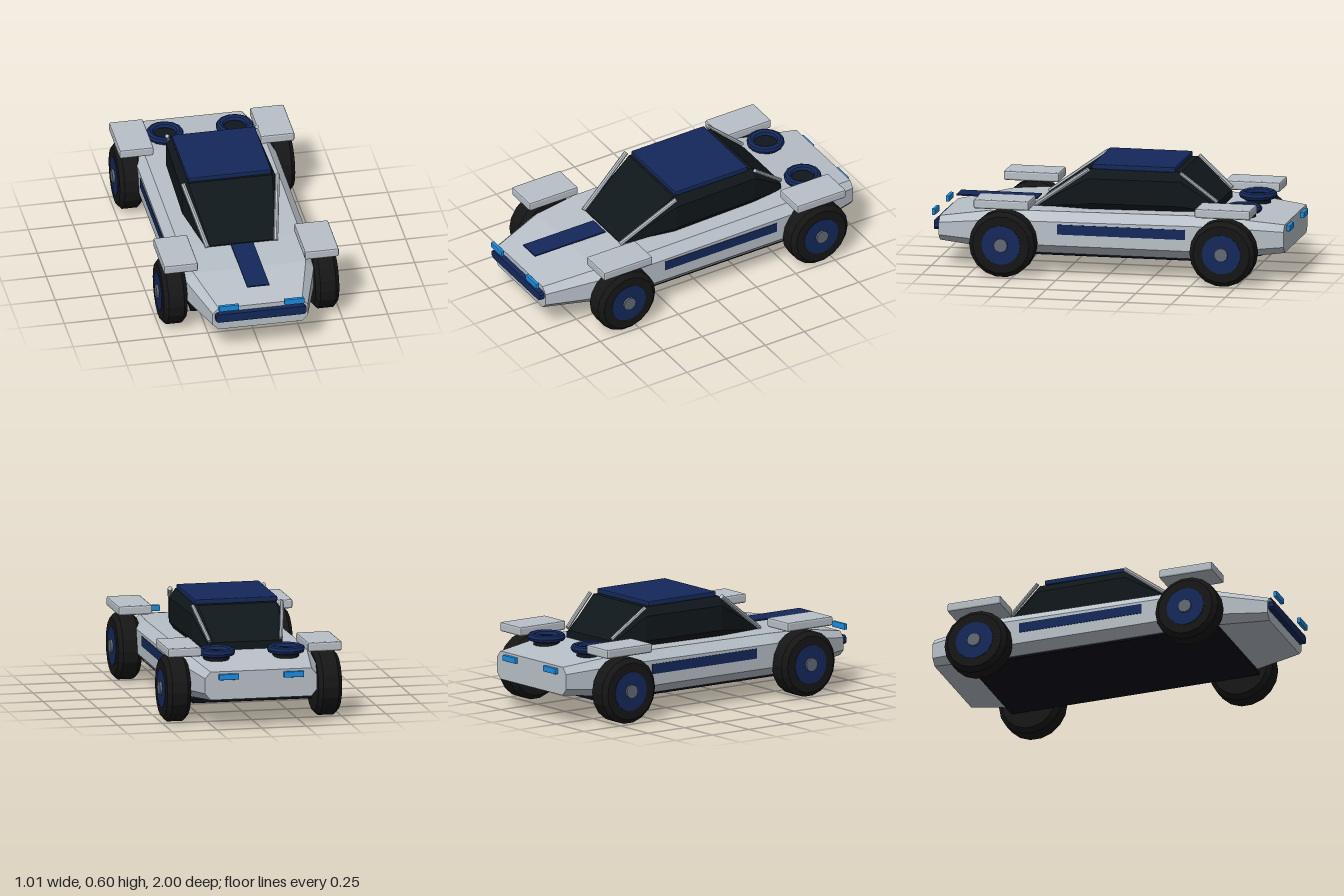
import * as THREE from 'three';
import { RoundedBoxGeometry } from 'three/addons/geometries/RoundedBoxGeometry.js';

const mat = (color) => new THREE.MeshStandardMaterial({ color, flatShading: true });

// Eight-sided cross-section: half width, bottom, top, corner cuts
function section([z, w, y0, y1, cx, cy]) {
  const half = [[w - cx, y0], [w, y0 + cy], [w, y1 - cy], [w - cx, y1]];
  const other = half.map(([x, y]) => [-x, y]).reverse();
  return [...half, ...other].map(([x, y]) => [x, y, z]);
}

// Closed hull through sections listed from front to back
function loft(stations) {
  const rings = stations.map(section);
  const n = rings[0].length;
  const pos = [];
  const tri = (a, b, c) => pos.push(...a, ...b, ...c);
  for (let k = 0; k < rings.length - 1; k++) {
    const f = rings[k], r = rings[k + 1];
    for (let i = 0; i < n; i++) {
      const j = (i + 1) % n;
      tri(f[i], r[i], r[j]);
      tri(f[i], r[j], f[j]);
    }
  }
  const first = rings[0], last = rings[rings.length - 1];
  for (let i = 1; i < n - 1; i++) {
    tri(first[0], first[i], first[i + 1]);
    tri(last[0], last[i + 1], last[i]);
  }
  const g = new THREE.BufferGeometry();
  g.setAttribute('position', new THREE.Float32BufferAttribute(pos, 3));
  g.computeVertexNormals();
  return g;
}

export function createModel() {
  const car = new THREE.Group();
  car.name = 'buggy';
  const grey = mat(0xb8c0c8), blue = mat(0x14285a), glass = mat(0x10171b);
  const rubber = mat(0x161616), lamp = mat(0x1a8ee0), under = mat(0x0c0c1a), metal = mat(0x626a74);

  const add = (name, geo, material, x = 0, y = 0, z = 0, parent = car) => {
    const m = new THREE.Mesh(geo, material);
    m.name = name;
    m.position.set(x, y, z);
    parent.add(m);
    return m;
  };
  // Bevelled block
  const block = (name, material, w, h, d, x, y, z, bevel = 0.007) =>
    add(name, new RoundedBoxGeometry(w, h, d, 1, bevel), material, x, y, z);
  // Thin bar between two points
  const bar = (name, a, b, r) => {
    const p = new THREE.Vector3(...a), q = new THREE.Vector3(...b);
    const dir = q.clone().sub(p);
    const m = add(name, new THREE.CylinderGeometry(r, r, dir.length(), 8), grey);
    m.position.copy(p).add(q).multiplyScalar(0.5);
    m.quaternion.setFromUnitVectors(new THREE.Vector3(0, 1, 0), dir.normalize());
  };

  // Body hull and floor
  add('body', loft([
    [0.955, 0.265, 0.15, 0.285, 0.033, 0.033],
    [0.66, 0.357, 0.135, 0.342, 0.045, 0.046],
    [0.4, 0.387, 0.126, 0.357, 0.048, 0.05],
    [-0.6, 0.387, 0.126, 0.367, 0.048, 0.05],
    [-0.98, 0.312, 0.17, 0.326, 0.03, 0.036],
  ]), grey);
  block('floor', under, 0.67, 0.022, 1.45, 0, 0.124, -0.04, 0.005);

  // Cabin and roof
  add('cabin', loft([
    [0.43, 0.195, 0.345, 0.362, 0.02, 0.004],
    [0.12, 0.268, 0.345, 0.582, 0.035, 0.05],
    [-0.39, 0.255, 0.345, 0.582, 0.035, 0.05],
    [-0.585, 0.205, 0.345, 0.41, 0.025, 0.014],
  ]), glass);
  block('roof', blue, 0.464, 0.03, 0.465, 0, 0.593, -0.125);

  // Hood stripe and front bumper
  add('hoodStripe', new THREE.BoxGeometry(0.124, 0.008, 0.45), blue, 0, 0.367, 0.675);
  add('frontBumper', loft([
    [0.985, 0.252, 0.21, 0.259, 0.012, 0.012],
    [0.945, 0.252, 0.21, 0.259, 0.012, 0.012],
  ]), blue);

  // Wheel profiles, turned about the axle
  const tyreGeo = new THREE.LatheGeometry([
    [0, -0.066], [0.158, -0.066], [0.183, -0.043], [0.183, 0.043], [0.158, 0.066], [0, 0.066],
  ].map(([r, y]) => new THREE.Vector2(r, y)), 18);
  const discGeo = new THREE.CylinderGeometry(0.108, 0.108, 0.012, 18);
  const capGeo = new THREE.CylinderGeometry(0.038, 0.038, 0.03, 12);

  for (const s of [1, -1]) {
    const side = s > 0 ? 'left' : 'right';

    // Wheels with flat fenders above
    for (const [end, z, fz] of [['Front', 0.56, 0.56], ['Rear', -0.67, -0.675]]) {
      const wheel = new THREE.Group();
      wheel.name = `${side}${end}Wheel`;
      wheel.position.set(s * 0.422, 0.187, z);
      wheel.rotation.z = -s * Math.PI / 2;
      car.add(wheel);
      add('tyre', tyreGeo, rubber, 0, 0, 0, wheel);
      add('wheelDisc', discGeo, blue, 0, 0.063, 0, wheel);
      add('hubCap', capGeo, metal, 0, 0.066, 0, wheel);
      block(`${side}${end}Fender`, grey, 0.19, 0.052, 0.31, s * 0.392, 0.41, fz, 0.01);
    }

    // Windscreen and rear pillars
    bar(`${side}FrontPillar`, [s * 0.19, 0.357, 0.435], [s * 0.263, 0.582, 0.12], 0.013);
    bar(`${side}RearPillar`, [s * 0.2, 0.42, -0.585], [s * 0.25, 0.582, -0.39], 0.011);

    // Side strip and lamps
    add(`${side}SideStrip`, new THREE.BoxGeometry(0.02, 0.055, 0.715), blue, s * 0.38, 0.267, -0.09);
    block(`${side}Headlight`, lamp, 0.112, 0.034, 0.02, s * 0.182, 0.303, 0.99, 0.004);
    block(`${side}TailLight`, lamp, 0.112, 0.032, 0.024, s * 0.182, 0.297, -0.988, 0.004);

    // Rear deck thruster ring
    const ring = add(`${side}ThrusterRing`, new THREE.TorusGeometry(0.083, 0.022, 8, 14), blue, s * 0.195, 0.39, -0.73);
    ring.rotation.x = Math.PI / 2;
    add(`${side}ThrusterCore`, new THREE.CylinderGeometry(0.072, 0.072, 0.04, 14), glass, s * 0.195, 0.367, -0.73);
  }
  return car;
}
